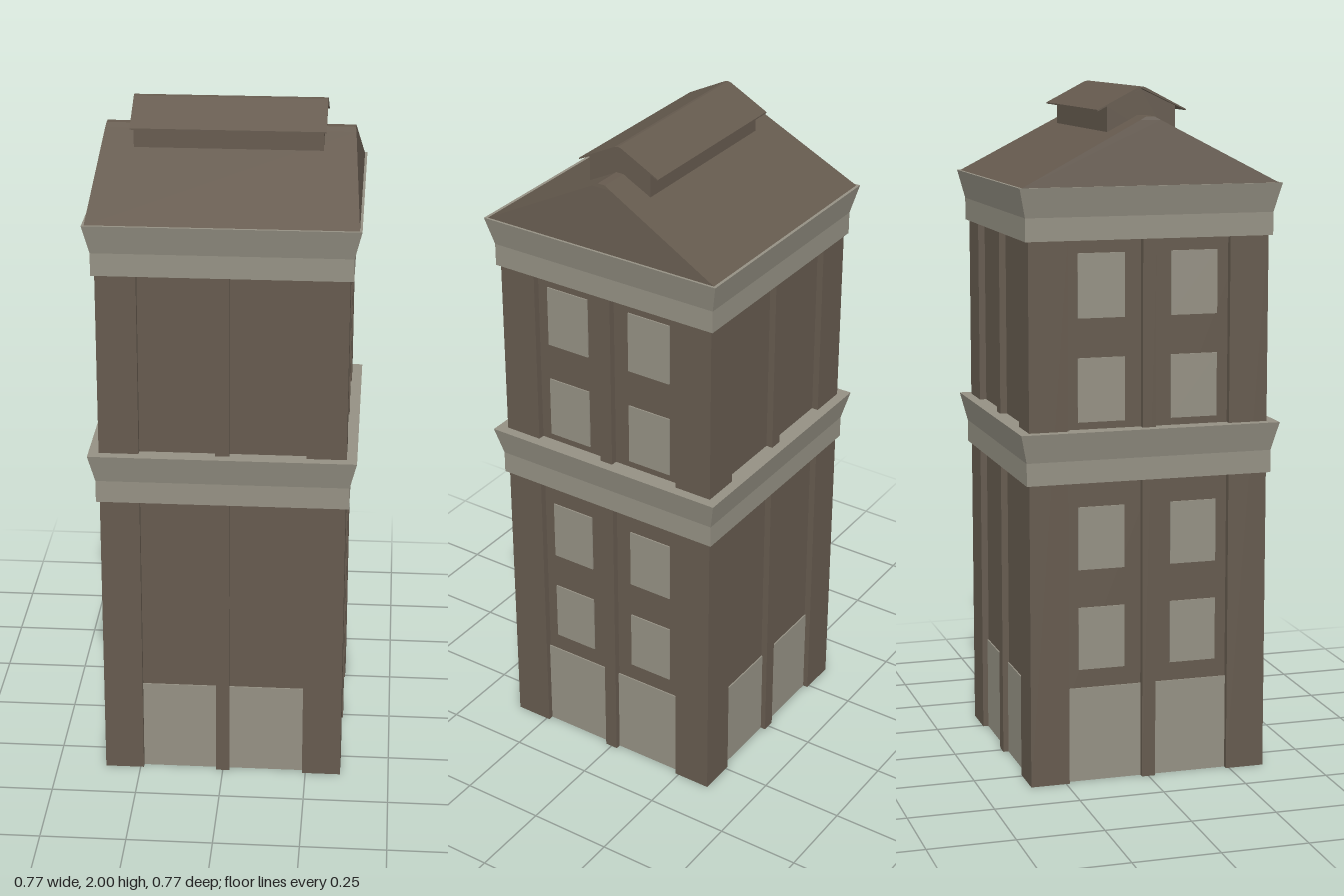
import * as THREE from 'three';

const brown = new THREE.MeshStandardMaterial({ color: 0x655a4e });
brown.name = 'brown brick';
const stone = new THREE.MeshStandardMaterial({ color: 0x949083 });
stone.name = 'pale stone';
const roofSheet = new THREE.MeshStandardMaterial({ color: 0x655a4e, side: THREE.DoubleSide });
roofSheet.name = 'brown roof sheet';

const HALF = 0.355;   // outer half width of the tower
const RECESS = 0.02;  // depth of the wall panels behind the piers

function add(parent, name, geometry, material, x = 0, y = 0, z = 0) {
  const mesh = new THREE.Mesh(geometry, material);
  mesh.name = name;
  mesh.position.set(x, y, z);
  parent.add(mesh);
  return mesh;
}

// Box standing between y0 and y1 whose top has its own half sizes
function taper(bx, bz, tx, tz, y0, y1) {
  const g = new THREE.BoxGeometry(2, y1 - y0, 2);
  const p = g.attributes.position;
  for (let i = 0; i < p.count; i++) {
    const top = p.getY(i) > 0;
    p.setXYZ(i, p.getX(i) * (top ? tx : bx), top ? y1 : y0, p.getZ(i) * (top ? tz : bz));
  }
  g.computeVertexNormals();
  return g;
}

// Profile given as [z, y] pairs, extruded along x
function alongX(points, halfLength) {
  const shape = new THREE.Shape(points.map(([z, y]) => new THREE.Vector2(z, y)));
  const g = new THREE.ExtrudeGeometry(shape, { depth: 2 * halfLength, bevelEnabled: false });
  g.translate(0, 0, -halfLength);
  g.rotateY(Math.PI / 2);
  return g;
}

export function createModel() {
  const model = new THREE.Group();
  model.name = 'tower';

  // Core walls
  const inner = HALF - RECESS;
  add(model, 'walls', taper(inner, inner, inner, inner, 0.002, 1.7), brown);
  add(model, 'underside', new THREE.BoxGeometry(2 * inner, 0.004, 2 * inner), stone, 0, 0.002, 0);

  // Corner piers
  const pier = HALF - 0.24;
  for (const sx of [-1, 1]) for (const sz of [-1, 1]) {
    add(model, 'cornerPier', new THREE.BoxGeometry(pier, 1.6, pier), brown,
      sx * (HALF - pier / 2), 0.8, sz * (HALF - pier / 2));
  }

  // Four facades: middle pier and ground panels everywhere, windows on the two sides
  for (let i = 0; i < 4; i++) {
    const facade = new THREE.Group();
    facade.name = ['frontFacade', 'leftFacade', 'backFacade', 'rightFacade'][i];
    facade.rotation.y = i * Math.PI / 2;
    add(facade, 'middlePier', new THREE.BoxGeometry(0.04, 1.6, RECESS), brown, 0, 0.8, HALF - RECESS / 2);
    for (const s of [-1, 1]) {
      add(facade, 'groundPanel', new THREE.BoxGeometry(0.22, 0.28, 0.006), stone, s * 0.13, 0.14, inner + 0.001);
      if (i % 2 === 0) continue;
      for (const y of [0.427, 0.723, 1.153, 1.45]) {
        add(facade, 'window', new THREE.BoxGeometry(0.138, 0.184, 0.006), stone, s * 0.138, y, inner + 0.001);
      }
    }
    model.add(facade);
  }

  // Cornices: a straight band with a flared moulding above
  for (const y of [0.89, 1.58]) {
    add(model, 'corniceBand', taper(0.365, 0.365, 0.365, 0.365, y, y + 0.066), stone);
    add(model, 'corniceFlare', taper(0.365, 0.365, 0.385, 0.385, y + 0.066, y + 0.15), stone);
  }

  // Main roof with sloping gables and a narrow blunt ridge
  add(model, 'roof', taper(0.378, 0.378, 0.357, 0.03, 1.729, 1.91), brown);
  add(model, 'roofRidge', taper(0.357, 0.03, 0.355, 0.012, 1.91, 1.92), brown);

  // Raised ridge vent with a thin overhanging roof
  add(model, 'ventBody', alongX([[-0.1, 1.82], [0.1, 1.82], [0.1, 1.946], [0, 1.993], [-0.1, 1.946]], 0.268), brown);
  add(model, 'ventRoof', alongX([
    [0.13, 1.932], [0.13, 1.936], [0.01, 1.998], [0, 2], [-0.01, 1.998],
    [-0.13, 1.936], [-0.13, 1.932], [0, 1.995],
  ], 0.276), roofSheet);

  return model;
}
